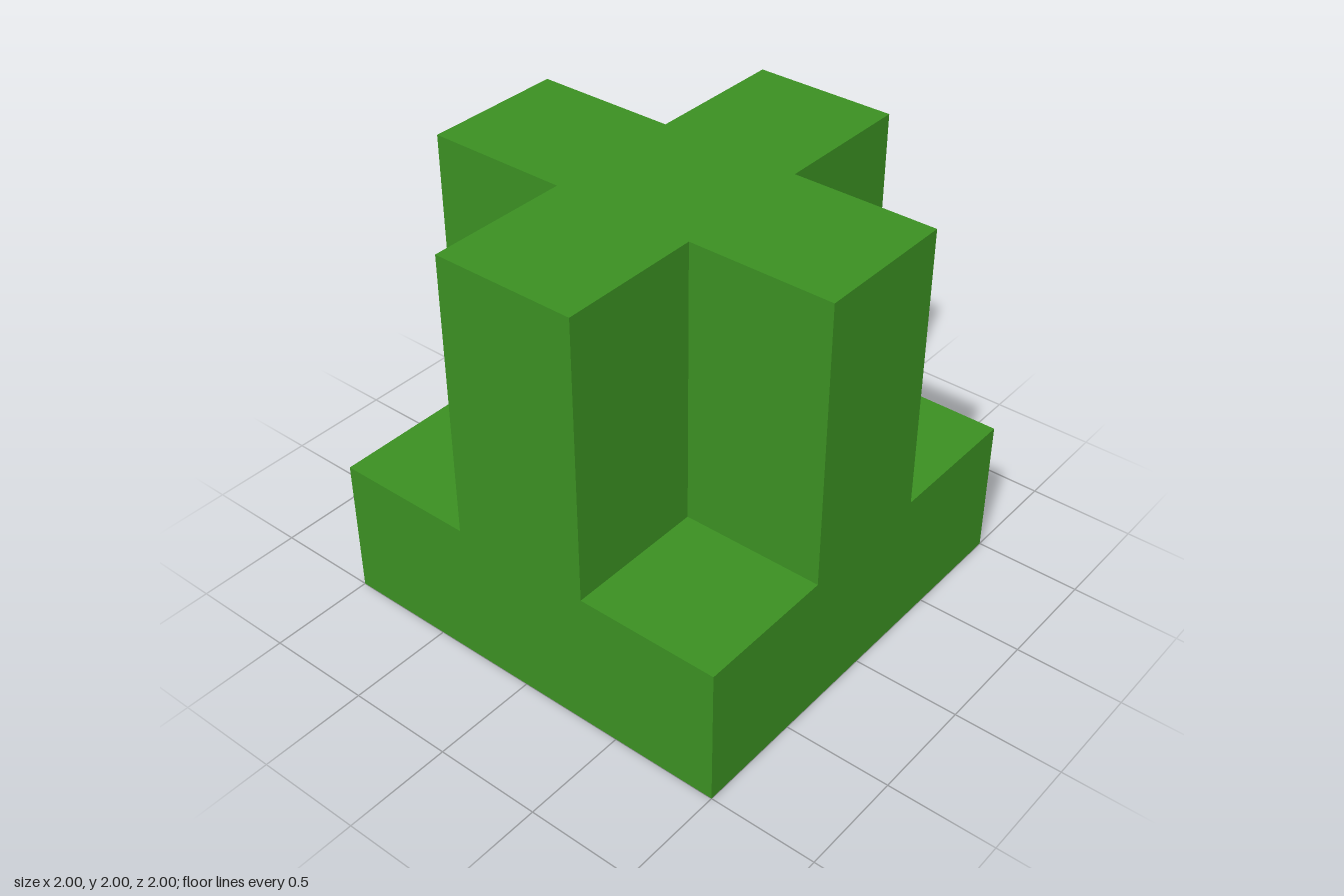
import * as THREE from 'three';

export function createModel() {
  const model = new THREE.Group();
  const green = new THREE.MeshStandardMaterial({ color: 0x3b9022 });
  green.name = 'leaf green';
  const darkGreen = new THREE.MeshStandardMaterial({ color: 0x0d5c22 });
  darkGreen.name = 'dark green';

  const a = 1 / 3; // half width of a cross arm
  const cell = 2 / 3; // side of one cubic cell

  // Cross-shaped column, full height
  const cross = new THREE.Shape([
    [-a, -1], [a, -1], [a, -a], [1, -a], [1, a], [a, a],
    [a, 1], [-a, 1], [-a, a], [-1, a], [-1, -a], [-a, -a],
  ].map(([x, y]) => new THREE.Vector2(x, y)));
  const columnGeometry = new THREE.ExtrudeGeometry(cross, { depth: 2, bevelEnabled: false });
  columnGeometry.rotateX(-Math.PI / 2);
  const column = new THREE.Mesh(columnGeometry, green);
  column.name = 'crossColumn';
  model.add(column);

  // Corner cubes filling out the square base; the back left one is dark
  const cube = new THREE.BoxGeometry(cell, cell, cell);
  for (const x of [-1, 1]) {
    for (const z of [-1, 1]) {
      const dark = x > 0 && z < 0;
      const corner = new THREE.Mesh(cube, dark ? darkGreen : green);
      corner.name = (z > 0 ? 'front' : 'back') + (x > 0 ? 'Left' : 'Right') + 'CornerCube';
      corner.position.set(x * cell, cell / 2, z * cell);
      model.add(corner);
    }
  }
  return model;
}
